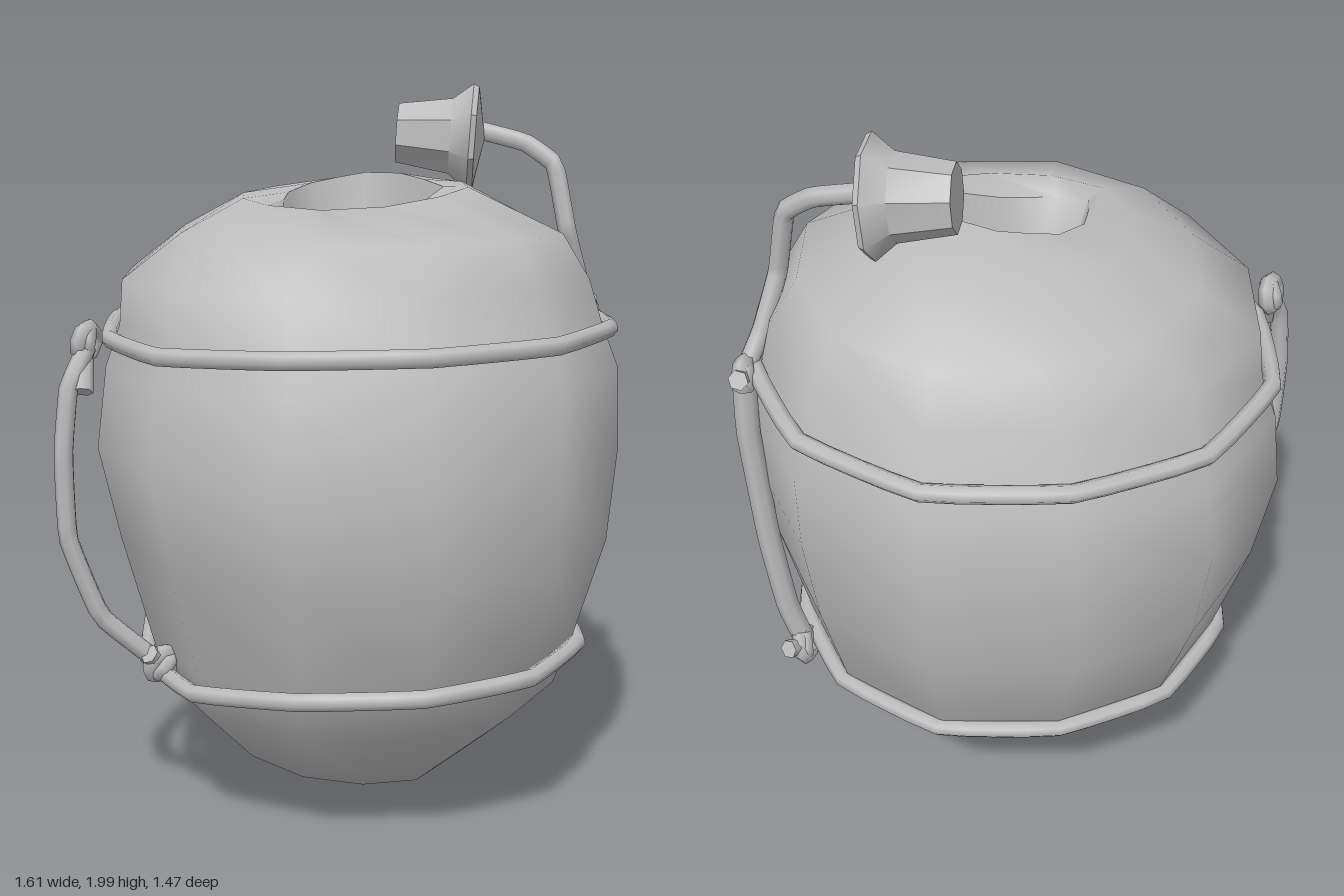
import * as THREE from 'three';
import { toCreasedNormals } from 'three/addons/utils/BufferGeometryUtils.js';

const SIDES = 12;
const V = (p) => new THREE.Vector3(...p);

// A tilted, slightly squared ring: y, centre x/z, radius x/z, slope along x/z, corner bulge
function ringPoint([y, cx, cz, rx, rz, tx = 0, tz = 0, bulge = 0.035], j, grow = 0) {
  const a = (j / SIDES) * Math.PI * 2;
  const k = 1 + bulge * Math.sin(2 * a) ** 2;
  const x = cx + (rx + grow) * k * Math.cos(a);
  const z = cz + (rz + grow) * k * Math.sin(a);
  return [x, y + tx * x + tz * z, z];
}

// Hollow gourd: rings from the blunt tip up to the rim and down into the opening
function bodyGeometry() {
  const rows = [
    [0.115, 0, -0.05, 0.32, 0.28, -0.14, -0.15],
    [0.36, 0.045, 0, 0.555, 0.545, 0, -0.04],
    [0.47, 0.05, 0, 0.59, 0.6],
    [0.78, 0.045, 0.005, 0.67, 0.73],
    [1.03, 0.035, -0.005, 0.715, 0.73],
    [1.25, 0.05, -0.02, 0.7, 0.715],
    [1.36, 0.05, -0.02, 0.66, 0.66],
    [1.48, 0.04, -0.025, 0.64, 0.61],
    [1.6, 0.08, -0.02, 0.52, 0.54],
    [1.705, 0.04, -0.02, 0.31, 0.3, 0.06, -0.03],
    [1.71, 0.03, 0.02, 0.19, 0.175, 0.13, -0.14, 0.16],
    [1.45, 0.04, 0.02, 0.13, 0.13, 0, 0, 0.16],
  ];
  const pos = [0.05, 0, 0];
  const index = [];
  rows.forEach((row, i) => {
    for (let j = 0; j < SIDES; j++) {
      const p = ringPoint(row, j);
      // opening widens and its lip dips towards the front
      const front = Math.max(0, Math.sin((j / SIDES) * Math.PI * 2 - 0.25)) ** 3;
      if (i >= 10) p[0] = row[1] + (p[0] - row[1]) * (1 + 1.7 * p[2]);
      if (i === 9 || i === 10) p[1] -= (i - 8) * 0.02 * front;
      pos.push(...p);
    }
  });
  pos.push(0.04, 1.42, 0.02);
  const last = pos.length / 3 - 1;
  const id = (i, j) => 1 + i * SIDES + (j % SIDES);
  for (let j = 0; j < SIDES; j++) {
    index.push(0, id(0, j), id(0, j + 1));
    for (let i = 0; i < rows.length - 1; i++) {
      index.push(id(i, j), id(i + 1, j), id(i + 1, j + 1));
      index.push(id(i, j), id(i + 1, j + 1), id(i, j + 1));
    }
    index.push(id(rows.length - 1, j), last, id(rows.length - 1, j + 1));
  }
  const geo = new THREE.BufferGeometry();
  geo.setAttribute('position', new THREE.Float32BufferAttribute(pos, 3));
  geo.setIndex(index);
  return toCreasedNormals(geo, 1.0);
}

export function createModel() {
  const model = new THREE.Group();
  const grey = new THREE.MeshStandardMaterial({ color: 0xbcbcbc, side: THREE.DoubleSide });
  grey.name = 'plain grey';

  const add = (name, geo, parent = model) => {
    const mesh = new THREE.Mesh(geo, grey);
    mesh.name = name;
    parent.add(mesh);
    return mesh;
  };
  const rope = (name, points, radius = 0.026, closed = false) => {
    const curve = new THREE.CatmullRomCurve3(points.map(V), closed, 'catmullrom', 0.15);
    add(name, new THREE.TubeGeometry(curve, points.length * 4, radius, 7, closed));
  };
  // Knot: a small loop of rope with a short tapering tail
  const knot = (name, at, turn, tail) => {
    const group = new THREE.Group();
    group.name = name;
    group.position.set(...at);
    add('knotLoop', new THREE.TorusGeometry(0.038, 0.024, 6, 8), group).rotation.set(...turn);
    add('knotWrap', new THREE.TorusGeometry(0.032, 0.022, 6, 8), group)
      .rotation.set(turn[0] + 1.3, turn[1] + 0.5, turn[2]);
    const dir = V(tail);
    const end = add('knotTail', new THREE.CylinderGeometry(0.027, 0.02, dir.length(), 6), group);
    end.position.copy(dir).multiplyScalar(0.5);
    end.quaternion.setFromUnitVectors(new THREE.Vector3(0, 1, 0), dir.normalize());
    model.add(group);
  };

  add('gourdBody', bodyGeometry());

  // Ropes tied round the body
  const band = (name, row, dips) => {
    const pts = [];
    for (let j = 0; j < SIDES; j++) {
      const p = ringPoint(row, j, 0.008);
      p[1] -= dips[j] ?? 0;
      pts.push(p);
    }
    rope(name, pts, 0.024, true);
  };
  band('upperBand', [1.345, 0.045, -0.02, 0.675, 0.675, 0.012, 0], { 5: 0.015, 6: 0.015 });
  band('lowerBand', [0.47, 0.05, 0.005, 0.6, 0.61, 0.01, 0], { 5: 0.035, 6: 0.04 });

  // Bowed carrying rope on the right, straight rope on the left
  rope('rightHandle', [[-0.71, 1.32, 0.09], [-0.765, 1.22, 0.13], [-0.785, 1.05, 0.14],
    [-0.78, 0.82, 0.14], [-0.7, 0.6, 0.14], [-0.54, 0.45, 0.14]]);
  rope('leftHandle', [[0.76, 1.34, -0.09], [0.765, 1.2, -0.095], [0.745, 0.85, -0.1],
    [0.715, 0.6, -0.11], [0.67, 0.44, -0.12]], 0.032);

  knot('upperRightKnot', [-0.71, 1.33, 0.07], [0.3, 0.9, 0.4], [-0.02, -0.12, 0.07]);
  knot('lowerRightKnot', [-0.54, 0.455, 0.14], [0.4, 0.4, 0], [-0.04, 0.04, 0.03]);
  knot('upperLeftKnot', [0.755, 1.345, -0.05], [0.2, 1.2, 0.3], [0.02, 0.03, -0.06]);
  knot('lowerLeftKnot', [0.68, 0.465, -0.13], [0.5, 1.1, 0.2], [0.05, 0.03, -0.05]);

  // Leash from the upper rope to the stopper
  rope('stopperLeash', [[0.755, 1.35, -0.03], [0.7, 1.44, 0.01], [0.64, 1.59, 0.05],
    [0.61, 1.77, 0.02], [0.54, 1.83, -0.03], [0.42, 1.865, -0.1]]);

  // Stopper lying on its side: tapered plug and a broad faceted cap
  const stopper = new THREE.Group();
  stopper.name = 'stopper';
  const profile = [[0, -0.19], [0.088, -0.19], [0.112, -0.04], [0.158, 0.015], [0.15, 0.03], [0, 0.055]];
  const lathe = new THREE.LatheGeometry(profile.map((p) => new THREE.Vector2(...p)), 8);
  add('plugAndCap', toCreasedNormals(lathe, 0.7), stopper);
  stopper.position.set(0.385, 1.845, -0.095);
  stopper.quaternion.setFromUnitVectors(new THREE.Vector3(0, 1, 0), V([0.93, -0.06, 0.35]).normalize());
  model.add(stopper);

  return model;
}
